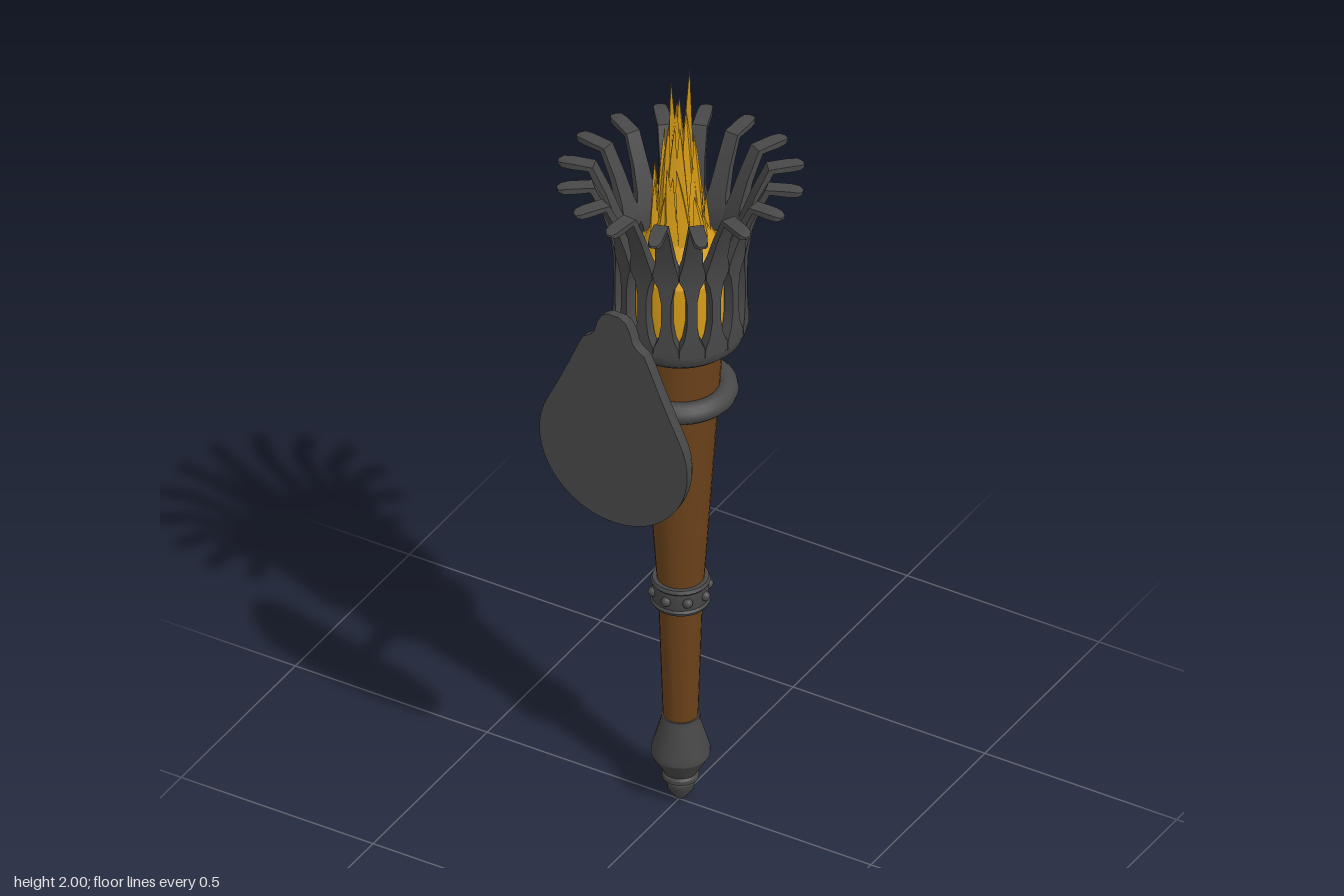
import * as THREE from 'three';
import { toCreasedNormals } from 'three/addons/utils/BufferGeometryUtils.js';

const AXIS_Z = -0.007; // the torch stands slightly behind the centre
const BARS = 16;
const V = (x, y, z) => new THREE.Vector3(x, y, z);
const iron = new THREE.MeshStandardMaterial({ color: 0x484848 });
const wood = new THREE.MeshStandardMaterial({ color: 0x6b421a });
const fire = new THREE.MeshStandardMaterial({ color: 0xd99e18 });

function mesh(name, geometry, material, parent) {
  const m = new THREE.Mesh(geometry, material);
  m.name = name;
  parent.add(m);
  return m;
}

// Skin over closed loops of equal length, with both ends capped
function loft(loops, crease) {
  const pos = [];
  const tri = (...p) => p.forEach(v => pos.push(v.x, v.y, v.z));
  const n = loops[0].length;
  const middle = loop => loop.reduce((s, p) => s.add(p), V(0, 0, 0)).divideScalar(n);
  const first = loops[0], last = loops[loops.length - 1];
  const c0 = middle(first), c1 = middle(last);
  for (let i = 0; i < n; i++) {
    const j = (i + 1) % n;
    for (let k = 0; k + 1 < loops.length; k++) {
      const a = loops[k], b = loops[k + 1];
      tri(a[i], a[j], b[j]);
      tri(a[i], b[j], b[i]);
    }
    tri(c0, first[j], first[i]);
    tri(c1, last[i], last[j]);
  }
  const g = new THREE.BufferGeometry();
  g.setAttribute('position', new THREE.Float32BufferAttribute(pos, 3));
  g.computeVertexNormals();
  return crease ? toCreasedNormals(g, crease) : g;
}

function lathe(points, segments = 32, crease = 0.5) {
  const g = new THREE.LatheGeometry(points.map(p => new THREE.Vector2(...p)), segments);
  return toCreasedNormals(g, crease);
}

// One basket bar: [radius, height, width, thickness] along its path
function barGeometry() {
  const path = [
    [0.138, 1.31, 0.059, 0.024], [0.139, 1.335, 0.058, 0.024], [0.139, 1.36, 0.036, 0.024],
    [0.139, 1.40, 0.023, 0.024], [0.139, 1.46, 0.023, 0.024], [0.139, 1.50, 0.036, 0.024],
    [0.140, 1.525, 0.058, 0.026], [0.144, 1.545, 0.060, 0.024], [0.153, 1.58, 0.045, 0.019],
    [0.173, 1.64, 0.037, 0.016], [0.203, 1.706, 0.034, 0.015], [0.25, 1.708, 0.033, 0.015],
    [0.27, 1.708, 0.029, 0.013], [0.281, 1.708, 0.014, 0.006],
  ];
  const loops = path.map(([r, y, w, t], i) => {
    const a = path[Math.max(i - 1, 0)], b = path[Math.min(i + 1, path.length - 1)];
    const d = new THREE.Vector2(b[0] - a[0], b[1] - a[1]).normalize();
    return [[1, 1], [-1, 1], [-1, -1], [1, -1]].map(([st, sn]) =>
      V(r + d.y * sn * t / 2, y - d.x * sn * t / 2, st * w / 2));
  });
  return loft(loops, 0.45);
}

// A jagged flame tongue that leans in towards its tip
function tongue(radius, angle, width, tipRadius, tipY, twist) {
  const shape = [[0, 0.7], [0.3, 1], [0.6, 0.72], [0.82, 0.4], [1, 0.03]];
  return loft(shape.map(([t, s], k) => {
    const r = THREE.MathUtils.lerp(radius, tipRadius, t * t);
    const y = THREE.MathUtils.lerp(1.48, tipY, t);
    const a = angle + twist * t;
    return Array.from({ length: 4 }, (_, i) => {
      const q = -i * Math.PI / 2 - a + k * 0.12;
      const u = Math.cos(q) * width * s * 0.6, v = Math.sin(q) * width * s;
      return V(Math.cos(a) * r + Math.cos(a) * u - Math.sin(a) * v, y,
        Math.sin(a) * r + Math.sin(a) * u + Math.cos(a) * v);
    });
  }));
}

function seeded(seed) {
  return () => (seed = (seed * 16807) % 2147483647) / 2147483647;
}

export function createModel() {
  const model = new THREE.Group();
  model.name = 'wallTorch';
  const torch = new THREE.Group();
  torch.name = 'torch';
  torch.position.z = AXIS_Z;
  model.add(torch);

  // Handle and pommel
  mesh('handle', lathe([[0, 0.2], [0.039, 0.2], [0.05, 0.55], [0.098, 1.28], [0, 1.28]], 24), wood, torch);
  mesh('pommel', lathe([[0, 0], [0.012, 0.004], [0.03, 0.03], [0.034, 0.05], [0.032, 0.056], [0.042, 0.06],
    [0.042, 0.07], [0.038, 0.076], [0.067, 0.125], [0.067, 0.14], [0.045, 0.215], [0.044, 0.232], [0, 0.232]], 20),
    iron, torch);

  // Riveted band round the handle
  const band = new THREE.Group();
  band.name = 'handleBand';
  torch.add(band);
  mesh('bandRing', lathe([[0.045, 0.542], [0.064, 0.542], [0.068, 0.55], [0.064, 0.556], [0.064, 0.598],
    [0.068, 0.603], [0.064, 0.611], [0.045, 0.611]], 24), iron, band);
  for (let i = 0; i < 8; i++) {
    const a = i * Math.PI / 4;
    const rivet = mesh('bandRivet', new THREE.SphereGeometry(0.012, 10, 8), iron, band);
    rivet.position.set(Math.cos(a) * 0.064, 0.577, Math.sin(a) * 0.064);
  }

  // Basket cup with its ring of bent bars
  const basket = new THREE.Group();
  basket.name = 'basket';
  torch.add(basket);
  mesh('basketCup', lathe([[0, 1.262], [0.1, 1.262], [0.125, 1.268], [0.142, 1.283], [0.15, 1.305],
    [0.151, 1.335], [0.127, 1.335], [0.12, 1.3], [0, 1.29]], 48), iron, basket);
  const bar = barGeometry();
  for (let i = 0; i < BARS; i++) {
    mesh('basketBar', bar, iron, basket).rotation.y = -(i / BARS) * Math.PI * 2 - 0.075;
  }

  // Burning core and flame tongues
  const flame = new THREE.Group();
  flame.name = 'flame';
  torch.add(flame);
  mesh('flameCore', lathe([[0, 1.295], [0.118, 1.295], [0.125, 1.34], [0.125, 1.48], [0.115, 1.5],
    [0.085, 1.53], [0.05, 1.6], [0, 1.7]], 28, 0.3), fire, flame);
  const rand = seeded(41);
  const rings = [ // count, base radius, tip radius, lowest tip, highest tip, width
    [13, 0.06, 0.058, 1.62, 1.79, 0.022],
    [10, 0.045, 0.036, 1.74, 1.88, 0.023],
    [6, 0.025, 0.017, 1.84, 1.95, 0.024],
  ];
  for (const [count, r, tip, low, high, width] of rings) {
    for (let i = 0; i < count; i++) {
      const a = (i + rand() * 0.6) / count * Math.PI * 2;
      const y = low + (high - low) * rand();
      mesh('flameTongue', tongue(r, a, width, tip, y, rand() - 0.5), fire, flame);
    }
  }
  mesh('tallTongue', tongue(0.015, -1, 0.03, 0.021, 1.998, 0.2), fire, flame);
  mesh('tallTongue', tongue(0.015, 2.2, 0.03, 0.022, 1.97, 0.2), fire, flame);

  // Holding ring and arm
  const bracket = new THREE.Group();
  bracket.name = 'bracket';
  model.add(bracket);
  const ring = mesh('holdingRing', new THREE.TorusGeometry(0.105, 0.026, 12, 40), iron, bracket);
  ring.rotation.x = Math.PI / 2;
  ring.position.set(0, 1.13, AXIS_Z);
  const arm = mesh('arm', lathe([[0.02, 0.105], [0.02, 0.213], [0.03, 0.216], [0.047, 0.22], [0.056, 0.23],
    [0.057, 0.25]], 20), iron, bracket);
  arm.rotation.x = Math.PI / 2;
  arm.position.y = 1.13;

  // Wall plate: round below, stepped neck and rounded tip above
  const right = [];
  for (let i = 0; i <= 14; i++) {
    const a = -Math.PI / 2 + i * (Math.PI / 2 + 0.5) / 14;
    right.push([Math.cos(a) * 0.193, 1.13 + Math.sin(a) * 0.193]);
  }
  right.push([0.142, 1.28], [0.115, 1.34], [0.094, 1.39], [0.08, 1.42], [0.06, 1.433],
    [0.05, 1.445], [0.042, 1.475], [0.03, 1.496], [0.014, 1.505]);
  const outline = right.concat(right.slice(1).reverse().map(([x, y]) => [-x, y]));
  const plateLoops = [[0.84, 0.242], [0.9, 0.244], [0.96, 0.252], [0.99, 0.264], [1, 0.288]].map(([s, z]) =>
    outline.map(([x, y]) => V(x * s, 1.17 + (y - 1.17) * s, z)));
  mesh('wallPlate', loft(plateLoops, 0.45), iron, bracket);

  // Plate nails
  for (const [x, y] of [[-0.112, 1.13], [0.108, 1.13], [0, 1.34]]) {
    const nail = mesh('plateNail', new THREE.CylinderGeometry(0.024, 0.024, 0.03, 16), iron, bracket);
    nail.rotation.x = Math.PI / 2;
    nail.position.set(x, y, 0.249);
  }
  return model;
}
